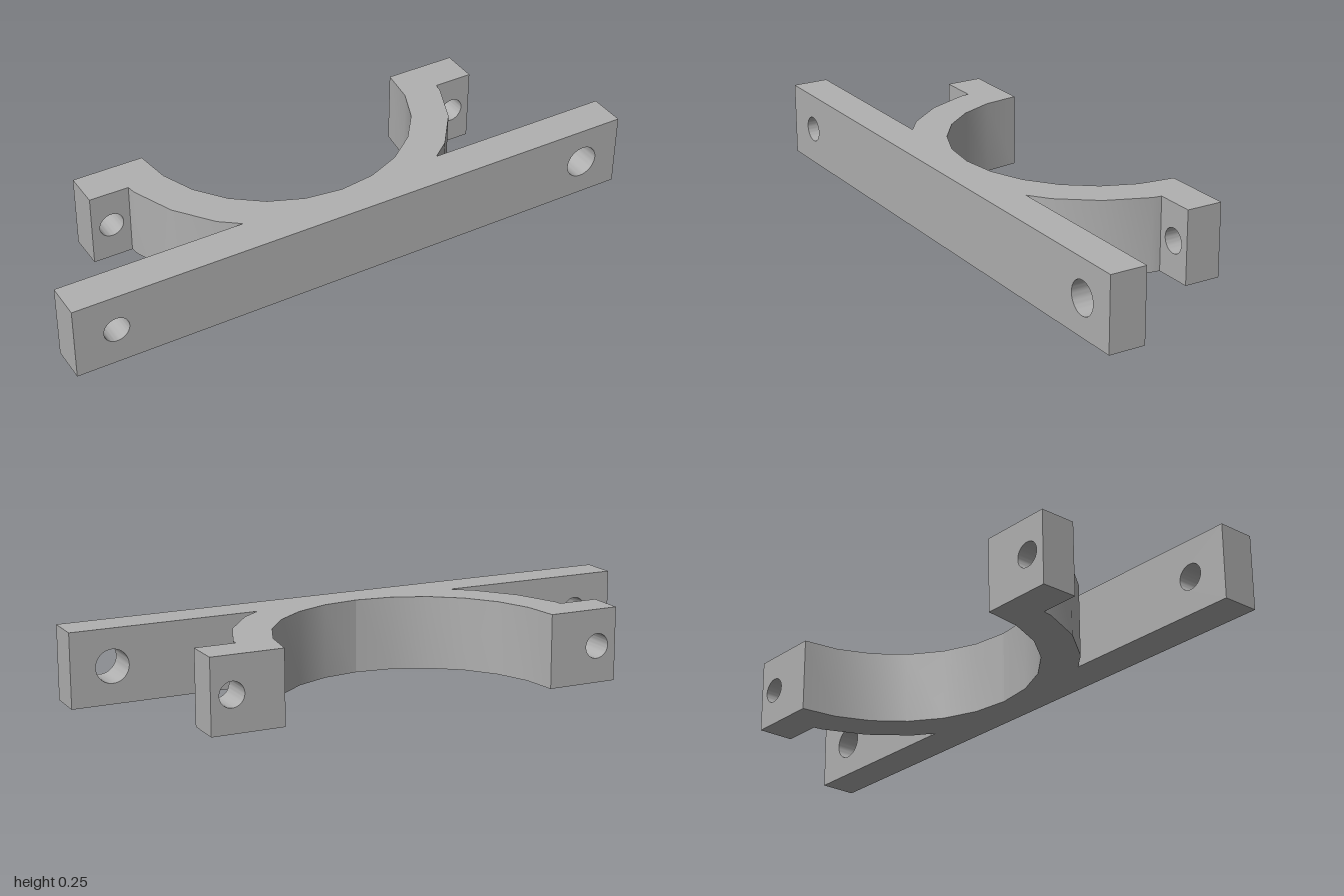
import * as THREE from 'three';
import { toCreasedNormals } from 'three/addons/utils/BufferGeometryUtils.js';

const H = 0.25;          // height of every part
const BACK = -0.3;       // rear face, also the centre of the cradle arc
const INNER = 0.475, OUTER = 0.6;
const PLATE_Z = 0.175;   // rear face of the mounting plate
const THICK = 0.125;
const EAR_JOIN = 0.55;   // hidden joint between ear and cradle

const metal = new THREE.MeshStandardMaterial({ color: 0xb0b0b0 });
metal.name = 'grey metal';

function addPart(group, name, geometry) {
  const mesh = new THREE.Mesh(toCreasedNormals(geometry, Math.PI / 7), metal);
  mesh.name = name;
  group.add(mesh);
}

// Upright plate with round holes [x, radius] drilled along z
function drilledPlate(x0, x1, z, holes) {
  const shape = new THREE.Shape([
    new THREE.Vector2(x0, 0), new THREE.Vector2(x1, 0),
    new THREE.Vector2(x1, H), new THREE.Vector2(x0, H),
  ]);
  for (const [x, r] of holes) {
    shape.holes.push(new THREE.Path().absarc(x, H / 2, r, 0, Math.PI * 2, true));
  }
  const geo = new THREE.ExtrudeGeometry(shape, { depth: THICK, bevelEnabled: false, curveSegments: 24 });
  return geo.translate(0, 0, z);
}

// One half of the curved cradle, tapering to nothing at the plate's middle
function cradleHalf(side) {
  const arc = (r, deg) => {
    const a = THREE.MathUtils.degToRad(deg);
    return [r * Math.cos(a), BACK + r * Math.sin(a)];
  };
  const points = [];
  for (let deg = 0; deg <= 90; deg += 15) points.push(arc(INNER, deg));
  points.push([0.358, PLATE_Z]);
  for (let deg = 45; deg >= 15; deg -= 15) points.push(arc(OUTER, deg));
  points.push([0.584, BACK + THICK], [EAR_JOIN, BACK + THICK], [EAR_JOIN, BACK]);
  const shape = new THREE.Shape(points.map(([x, z]) => new THREE.Vector2(side * x, z)));
  const geo = new THREE.ExtrudeGeometry(shape, { depth: H, bevelEnabled: false });
  return geo.rotateX(Math.PI / 2).translate(0, H, 0);
}

export function createModel() {
  const group = new THREE.Group();
  group.name = 'clampBracket';

  // Mounting plate with one small and one larger screw hole
  addPart(group, 'mountingPlate', drilledPlate(-1, 1, PLATE_Z, [[-0.86, 0.043], [0.86, 0.056]]));

  // Mirrored cradle halves and bolt ears
  for (const side of [1, -1]) {
    const label = side > 0 ? 'left' : 'right';
    addPart(group, label + 'Cradle', cradleHalf(side));
    const [x0, x1] = [side * EAR_JOIN, side * 0.72].sort((a, b) => a - b);
    addPart(group, label + 'Ear', drilledPlate(x0, x1, BACK, [[side * 0.65, 0.042]]));
  }
  return group;
}
